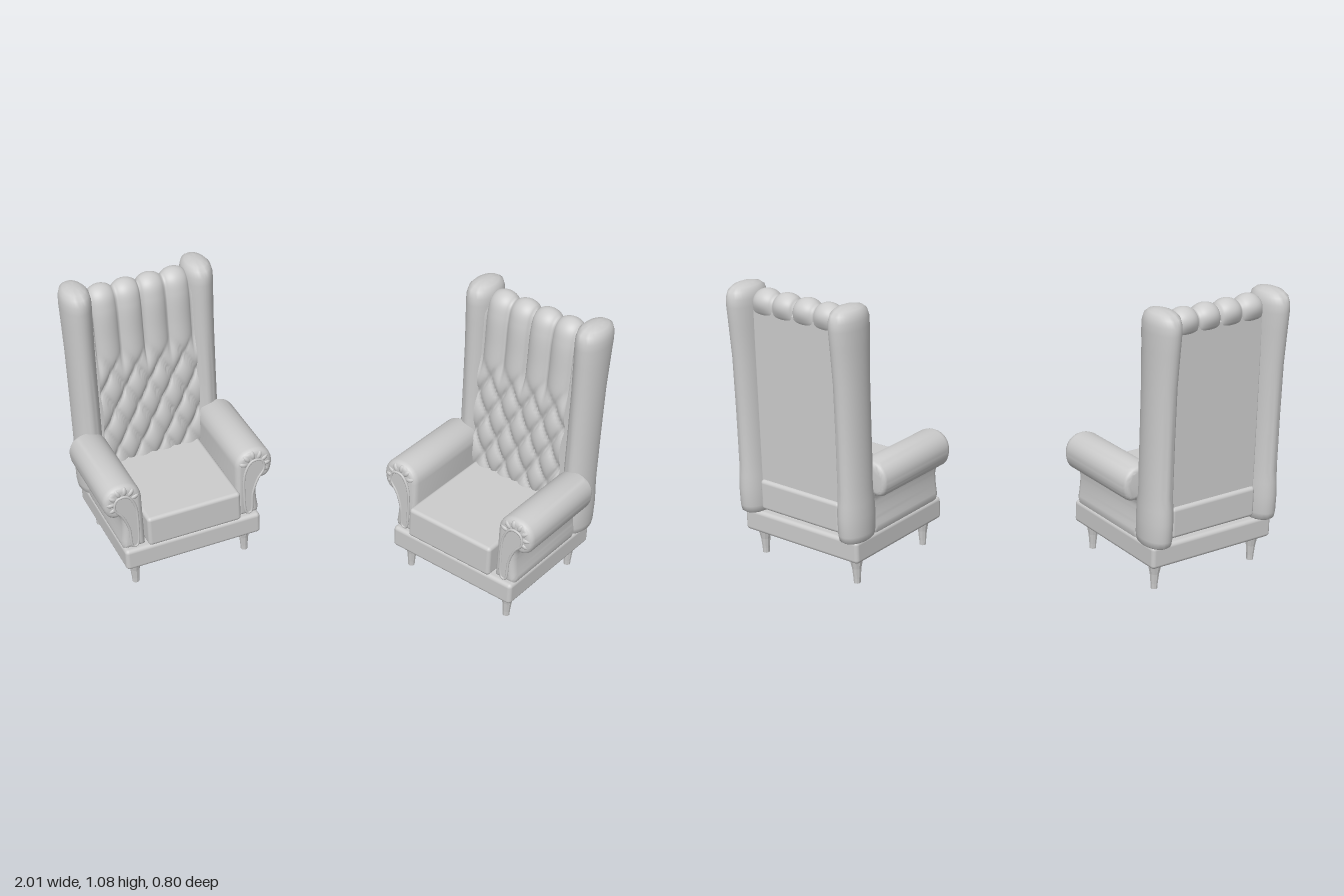
import * as THREE from 'three';
import { toCreasedNormals } from 'three/addons/utils/BufferGeometryUtils.js';
import { RoundedBoxGeometry } from 'three/addons/geometries/RoundedBoxGeometry.js';

const fabric = new THREE.MeshStandardMaterial({ color: 0xcccccc });
const thin = new THREE.MeshStandardMaterial({ color: 0xcccccc, side: THREE.DoubleSide });
const faceted = new THREE.MeshStandardMaterial({ color: 0xcccccc, flatShading: true });

function add(parent, name, geometry, x = 0, y = 0, z = 0, material = fabric) {
  const mesh = new THREE.Mesh(geometry, material);
  mesh.name = name;
  mesh.position.set(x, y, z);
  parent.add(mesh);
  return mesh;
}

// Rounded box given by its limits
function slab(parent, name, w, y0, y1, z0, z1, r) {
  const geometry = new RoundedBoxGeometry(w, y1 - y0, z1 - z0, 4, r);
  return add(parent, name, geometry, 0, (y0 + y1) / 2, (z0 + z1) / 2);
}

const lathe = (points, sides) =>
  new THREE.LatheGeometry(points.map(p => new THREE.Vector2(...p)), sides);

// Tall padded column: an oval lathe that leans back a little towards the top
function wingGeometry() {
  const g = lathe([
    [0, 0.19], [0.8, 0.19], [0.93, 0.198], [0.98, 0.22], [1, 0.29], [0.97, 0.34], [0.93, 0.39],
    [0.93, 0.6], [0.94, 0.8], [0.98, 0.93], [1.01, 1.0], [1.0, 1.03], [0.9, 1.055],
    [0.7, 1.068], [0.4, 1.075], [0, 1.077],
  ], 32);
  const p = g.attributes.position;
  for (let i = 0; i < p.count; i++) {
    const y = p.getY(i);
    const flare = THREE.MathUtils.smoothstep(y, 0.7, 1.05);
    const z = p.getZ(i);
    p.setX(i, p.getX(i) * 0.056);
    p.setZ(i, z * (z < 0 ? 0.084 + 0.012 * flare : 0.084));
  }
  return toCreasedNormals(g, 0.9);
}

// Back cushion: a profile swept across the width, padded out along its normal
function tuftedBackGeometry() {
  const curve = new THREE.CatmullRomCurve3([
    [0.28, -0.135], [0.45, -0.14], [0.65, -0.148], [0.85, -0.158], [0.98, -0.165], [1.025, -0.178],
    [1.038, -0.2], [1.025, -0.222], [0.99, -0.23], [0.95, -0.222],
  ].map(([y, z]) => new THREE.Vector3(0, y, z)));
  const cols = 64, rows = 130, width = 0.39, pitch = 0.38 / 4;
  const position = [], index = [];
  for (let j = 0; j <= rows; j++) {
    const c = curve.getPoint(j / rows), t = curve.getTangent(j / rows);
    const onBack = c.z < -0.2;
    const mix = onBack ? 0 : 1 - THREE.MathUtils.smoothstep(c.y, 0.68, 0.82);
    const fade = onBack ? THREE.MathUtils.smoothstep(c.y, 0.95, 1.03) : 1;
    for (let i = 0; i <= cols; i++) {
      const x = (i / cols - 0.5) * width;
      // upright channels above, diamonds with buttoned corners below
      const u = x / pitch, v = (c.y - 0.3) / 0.17;
      const channel = Math.sqrt(Math.abs(Math.sin(Math.PI * u)));
      const diamond = Math.pow(Math.abs(Math.sin(Math.PI * (u + v)) * Math.sin(Math.PI * (u - v))), 0.3);
      const pad = 0.028 * fade * THREE.MathUtils.lerp(channel, diamond, mix);
      position.push(x, c.y + t.z * -pad * -1 * -1, c.z + t.y * pad);
    }
  }
  for (let j = 0; j < rows; j++) {
    for (let i = 0; i < cols; i++) {
      const a = j * (cols + 1) + i, b = a + cols + 1;
      index.push(a, a + 1, b + 1, a, b + 1, b);
    }
  }
  const g = new THREE.BufferGeometry();
  g.setAttribute('position', new THREE.Float32BufferAttribute(position, 3));
  g.setIndex(index);
  g.computeVertexNormals();
  return g;
}

// Arm: upright side with a rolled top that overhangs outwards
function armGeometry(s) {
  const shape = new THREE.Shape();
  shape.moveTo(s * 0.185, 0.19);
  shape.lineTo(s * 0.187, 0.41);
  shape.bezierCurveTo(s * 0.187, 0.5, s * 0.335, 0.505, s * 0.336, 0.41);
  shape.bezierCurveTo(s * 0.335, 0.36, s * 0.31, 0.335, s * 0.28, 0.345);
  shape.bezierCurveTo(s * 0.262, 0.33, s * 0.268, 0.26, s * 0.276, 0.21);
  shape.lineTo(s * 0.27, 0.19);
  const g = new THREE.ExtrudeGeometry(shape, {
    depth: 0.345, bevelThickness: 0.025, bevelSize: 0.02, bevelOffset: -0.02,
    bevelSegments: 4, curveSegments: 16,
  });
  return toCreasedNormals(g, 0.7);
}

function addArm(chair, s) {
  const arm = new THREE.Group();
  arm.name = s > 0 ? 'leftArm' : 'rightArm';
  chair.add(arm);
  add(arm, 'armRoll', armGeometry(s), 0, 0, -0.13);
  // teardrop facing on the front, edged with piping
  const outline = [
    [0.222, 0.205], [0.213, 0.3], [0.22, 0.39], [0.25, 0.435], [0.288, 0.43],
    [0.297, 0.39], [0.27, 0.35], [0.248, 0.29], [0.238, 0.205],
  ];
  const path = new THREE.CatmullRomCurve3(outline.map(([x, y]) => new THREE.Vector3(s * x, y, 0)), true);
  const facing = new THREE.Shape(path.getPoints(40).map(p => new THREE.Vector2(p.x, p.y)));
  const facingGeometry = new THREE.ExtrudeGeometry(facing, { depth: 0.008, bevelEnabled: false });
  add(arm, 'armFacing', facingGeometry, 0, 0, 0.236);
  add(arm, 'armPiping', new THREE.TubeGeometry(path, 60, 0.005, 8, true), 0, 0, 0.243);
  // gathered pleats around the roll
  for (let i = 0; i < 7; i++) {
    const a = -0.5 + i * 0.55;
    const pleat = add(arm, 'armPleat', new THREE.SphereGeometry(1, 12, 8),
      s * (0.261 + 0.047 * Math.cos(a)), 0.408 + 0.046 * Math.sin(a), 0.232);
    pleat.scale.set(0.02, 0.011, 0.013);
    pleat.rotation.z = s > 0 ? a : Math.PI - a;
  }
}

function makeChair(name, x, z, angle) {
  const chair = new THREE.Group();
  chair.name = name;
  chair.position.set(x, 0, z);
  chair.rotation.y = angle;

  slab(chair, 'base', 0.545, 0.103, 0.192, -0.25, 0.255, 0.015);
  slab(chair, 'seatCushion', 0.372, 0.205, 0.33, -0.2, 0.276, 0.014);
  slab(chair, 'rearRail', 0.38, 0.205, 0.325, -0.248, -0.12, 0.014);
  slab(chair, 'backPanel', 0.385, 0.3, 1.0, -0.235, -0.18, 0.008);
  add(chair, 'tuftedBack', tuftedBackGeometry(), 0, 0, 0, thin);

  const wing = wingGeometry();
  const leg = lathe([
    [0, 0], [0.013, 0], [0.014, 0.02], [0.018, 0.06], [0.024, 0.09], [0.028, 0.108], [0, 0.108],
  ], 10);
  for (const s of [-1, 1]) {
    add(chair, s > 0 ? 'leftWing' : 'rightWing', wing, s * 0.238, 0, -0.205);
    addArm(chair, s);
    for (const f of [-0.197, 0.197]) {
      add(chair, f > 0 ? 'frontLeg' : 'backLeg', leg, s * 0.224, 0, f, faceted);
    }
  }
  return chair;
}

export function createModel() {
  const model = new THREE.Group();
  model.name = 'pairOfWingChairs';
  model.add(makeChair('rightChair', -0.622, 0.015, 0.62));
  model.add(makeChair('leftChair', 0.622, -0.015, -0.55));
  return model;
}
